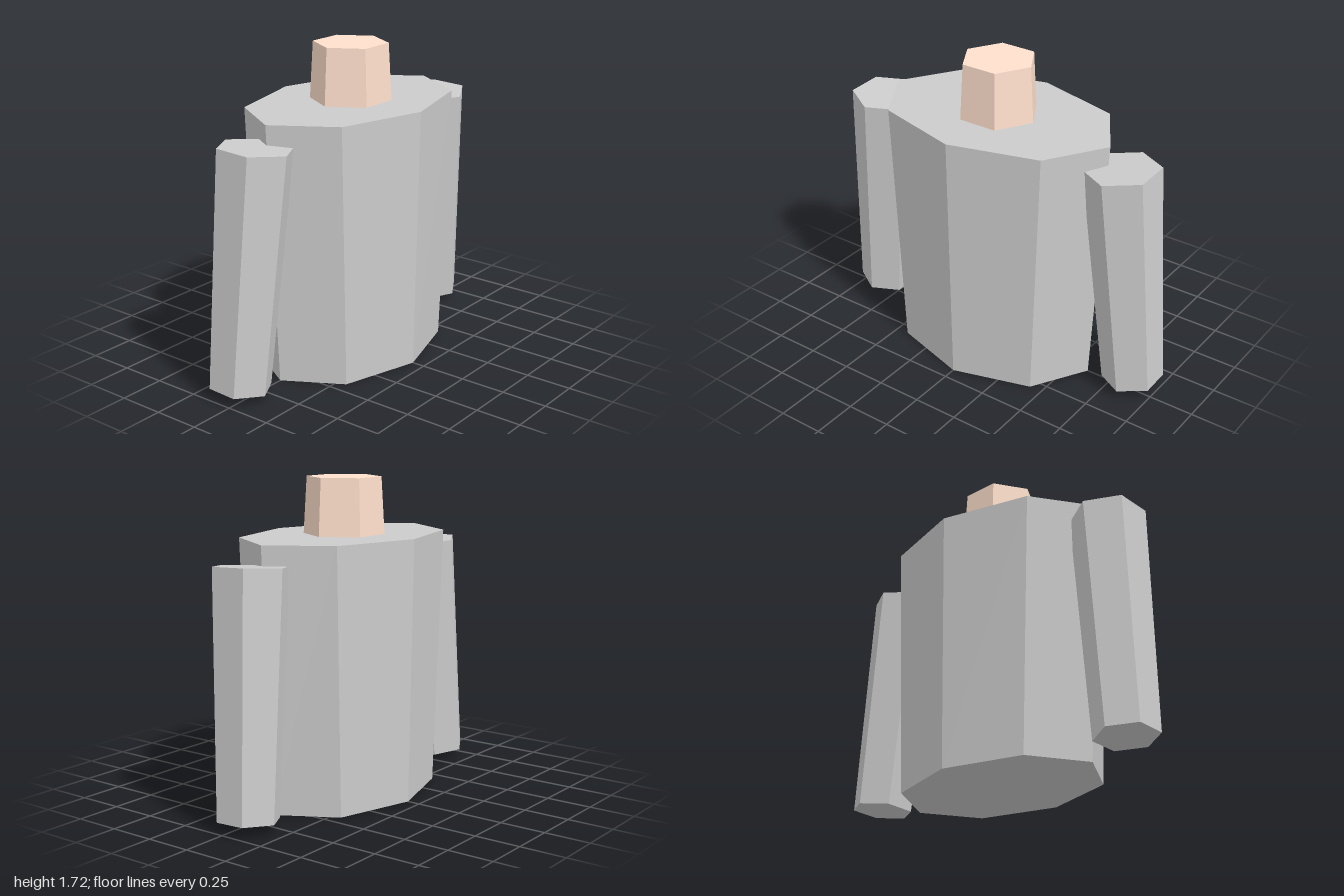
import * as THREE from 'three';

export function createModel() {
  const model = new THREE.Group();
  const grey = new THREE.MeshStandardMaterial({ color: 0xcccccc, flatShading: true });
  const skin = new THREE.MeshStandardMaterial({ color: 0xffe0cc, flatShading: true });

  const add = (name, geometry, material) => {
    const mesh = new THREE.Mesh(geometry, material);
    mesh.name = name;
    model.add(mesh);
    return mesh;
  };

  // Torso: eight-sided oval prism, narrowing towards the hem
  const torsoHeight = 1.41;
  const torso = new THREE.CylinderGeometry(1, 1, torsoHeight, 8);
  torso.translate(0, torsoHeight / 2, 0);
  const p = torso.attributes.position;
  for (let i = 0; i < p.count; i++) {
    const t = p.getY(i) / torsoHeight;
    p.setX(i, p.getX(i) * THREE.MathUtils.lerp(0.605, 0.68, t));
    p.setZ(i, p.getZ(i) * THREE.MathUtils.lerp(0.43, 0.453, t));
  }
  add('torso', torso, grey);

  // Neck: short tapered hexagon with corners to the sides
  const neck = new THREE.CylinderGeometry(0.2, 0.218, 0.31, 6);
  neck.rotateY(Math.PI / 6);
  add('neck', neck, skin).position.y = 1.56;

  // Arms: tapered hexagons leaning outwards and slightly back
  for (const [name, side] of [['leftArm', 1], ['rightArm', -1]]) {
    const top = new THREE.Vector3(side * 0.755, 1.312, 0);
    const bottom = new THREE.Vector3(side * 0.856, 0.052, -0.05);
    const axis = top.clone().sub(bottom);
    const arm = add(name, new THREE.CylinderGeometry(0.2, 0.166, axis.length(), 6), grey);
    arm.position.copy(top).add(bottom).multiplyScalar(0.5);
    arm.quaternion.setFromUnitVectors(new THREE.Vector3(0, 1, 0), axis.normalize());
  }

  return model;
}
